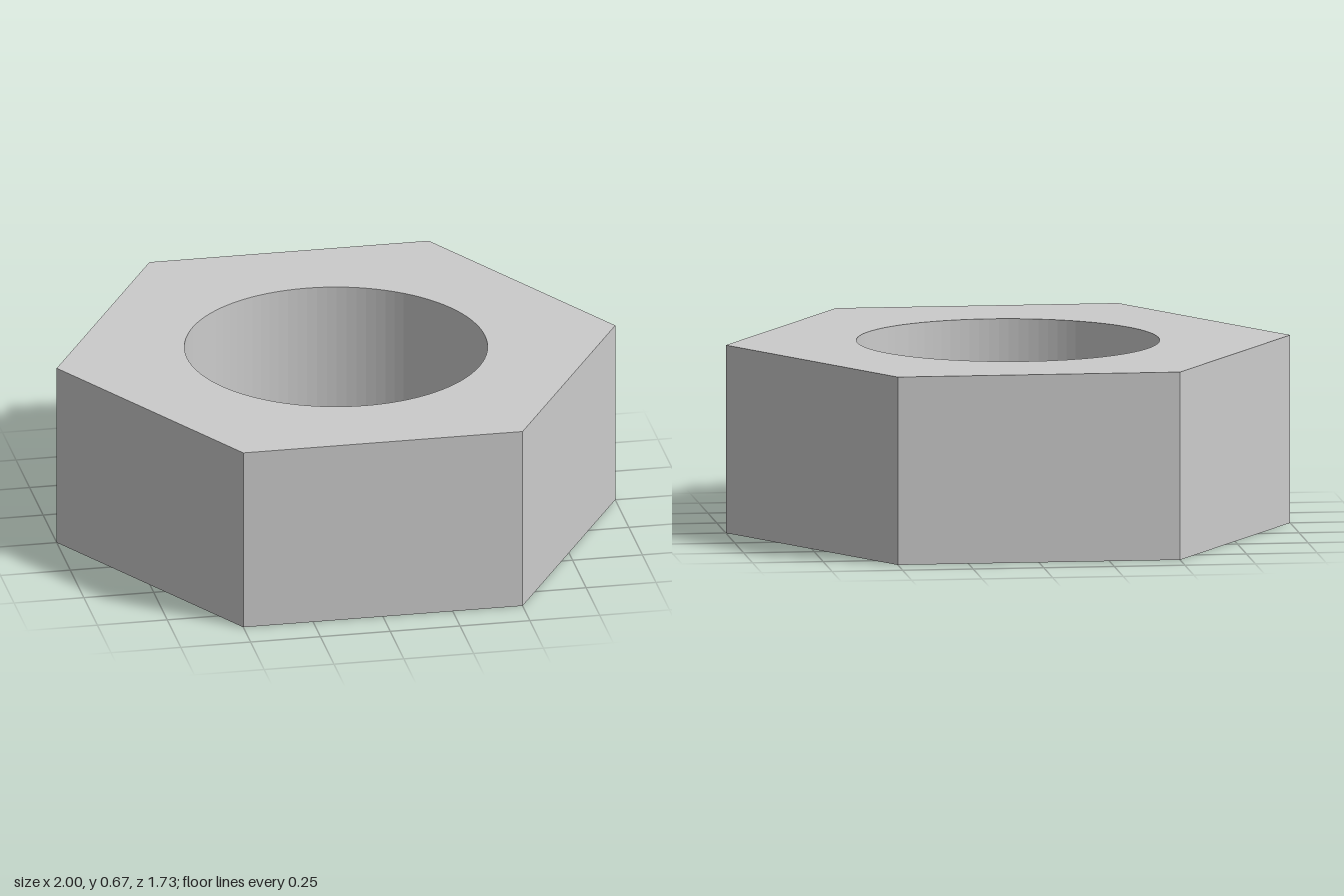
import * as THREE from 'three';

const RADIUS = 1; // centre to hexagon corner
const HOLE_RADIUS = 0.533;
const HEIGHT = 0.667;

export function createModel() {
  const group = new THREE.Group();
  group.name = 'hexNut';

  // Hexagonal outline with corners on the x axis
  const corners = Array.from({ length: 6 }, (_, i) => {
    const a = (i * Math.PI) / 3;
    return new THREE.Vector2(RADIUS * Math.cos(a), RADIUS * Math.sin(a));
  });
  const outline = new THREE.Shape(corners);

  // Round through-hole
  outline.holes.push(new THREE.Path().absarc(0, 0, HOLE_RADIUS, 0, Math.PI * 2, true));

  // Nut body, extruded upwards from the ground
  const geometry = new THREE.ExtrudeGeometry(outline, {
    depth: HEIGHT,
    bevelEnabled: false,
    curveSegments: 48,
  });
  geometry.rotateX(-Math.PI / 2);

  const material = new THREE.MeshStandardMaterial({ color: 0xcccccc, flatShading: true });
  const body = new THREE.Mesh(geometry, material);
  body.name = 'nutBody';
  group.add(body);
  return group;
}
